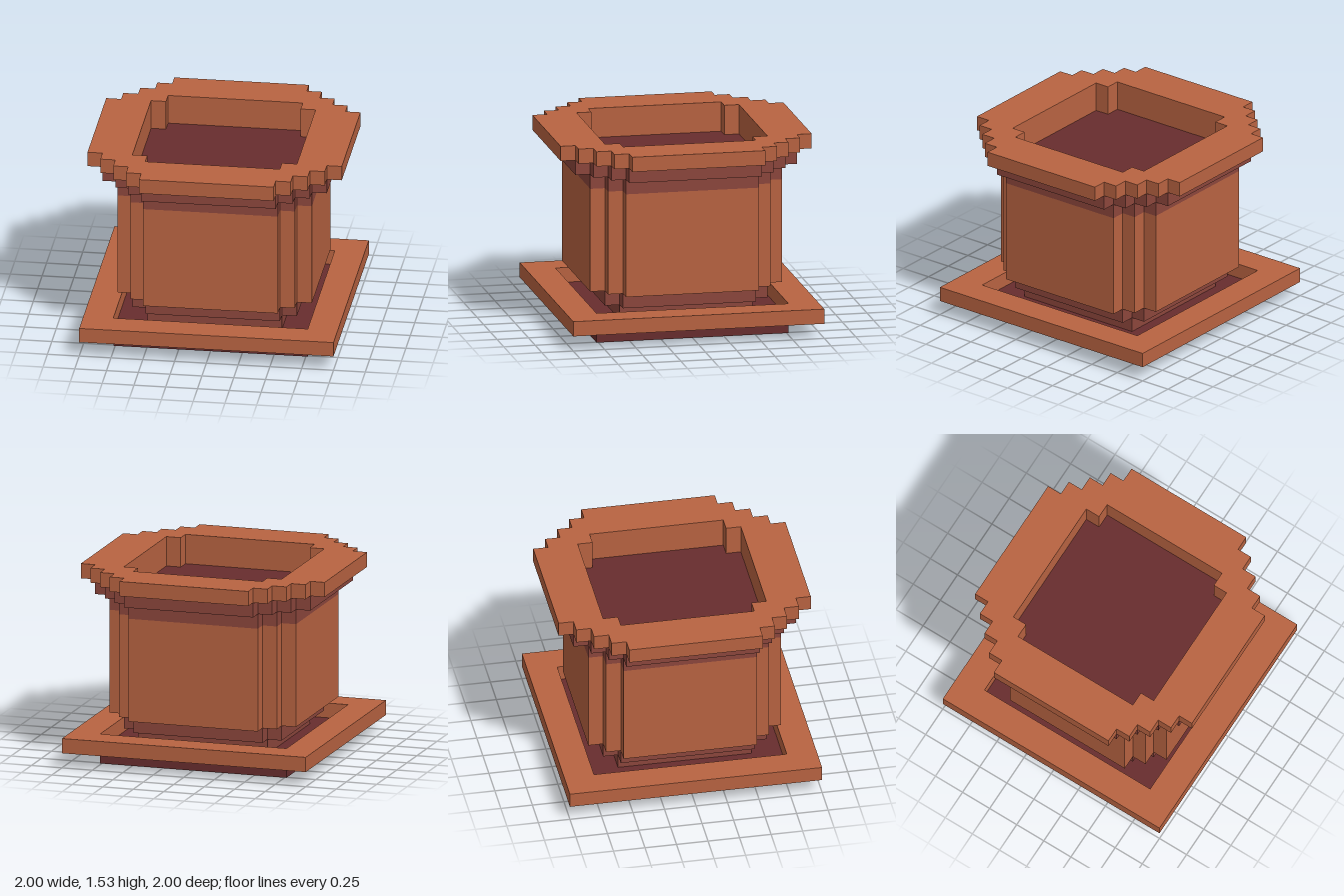
import * as THREE from 'three';

const U = 2 / 17;      // one block
const FLAT = 4.5;      // half width of the straight sides, in blocks

// Counter-clockwise outline made by turning one corner four times
function turned(corner) {
  const pts = [];
  for (let q = 0; q < 4; q++) {
    for (const [x, y] of corner) {
      const [a, b] = [[x, y], [-y, x], [-x, -y], [y, -x]][q];
      pts.push(new THREE.Vector2(a * U, b * U));
    }
  }
  return pts;
}

// Plan with staircase corners: k blocks wider than the straight sides
function stepped(k) {
  const corner = [];
  for (let i = 0; i <= k; i++) {
    corner.push([FLAT + k - i, FLAT + i]);
    if (i < k) corner.push([FLAT + k - i - 1, FLAT + i]);
  }
  return turned(corner);
}

const square = (h) => turned([[h, h]]);

export function createModel() {
  const terracotta = new THREE.MeshStandardMaterial({ color: 0xb86341 });
  const darkClay = new THREE.MeshStandardMaterial({ color: 0x8c463c });
  const soilBrown = new THREE.MeshStandardMaterial({ color: 0x682d2e });

  const group = new THREE.Group();

  // Upright slab from block layer y0 to y1, with an optional hole
  function slab(name, material, y0, y1, outline, hole) {
    const shape = new THREE.Shape(outline);
    if (hole) shape.holes.push(new THREE.Path(hole));
    const geometry = new THREE.ExtrudeGeometry(shape, { depth: (y1 - y0) * U, bevelEnabled: false });
    geometry.rotateX(-Math.PI / 2);
    geometry.translate(0, y0 * U, 0);
    const mesh = new THREE.Mesh(geometry, material);
    mesh.name = name;
    group.add(mesh);
  }

  // Saucer
  slab('saucerBase', soilBrown, 0, 1, square(6.5));
  slab('saucerRim', terracotta, 1, 2, square(8.5), square(6.5));

  // Pot
  slab('potFootLower', darkClay, 1, 2, stepped(0));
  slab('potFoot', darkClay, 2, 3, stepped(1));
  slab('potBody', terracotta, 3, 10, stepped(2));
  slab('potNeck', darkClay, 10, 11, stepped(2), stepped(1));
  slab('rimLining', terracotta, 11, 12, stepped(2), stepped(1));
  slab('rimUnderside', darkClay, 11, 12, stepped(3), stepped(2));
  slab('rim', terracotta, 12, 13, stepped(4), stepped(1));

  // Soil
  slab('soil', soilBrown, 10, 11, stepped(1));

  return group;
}
